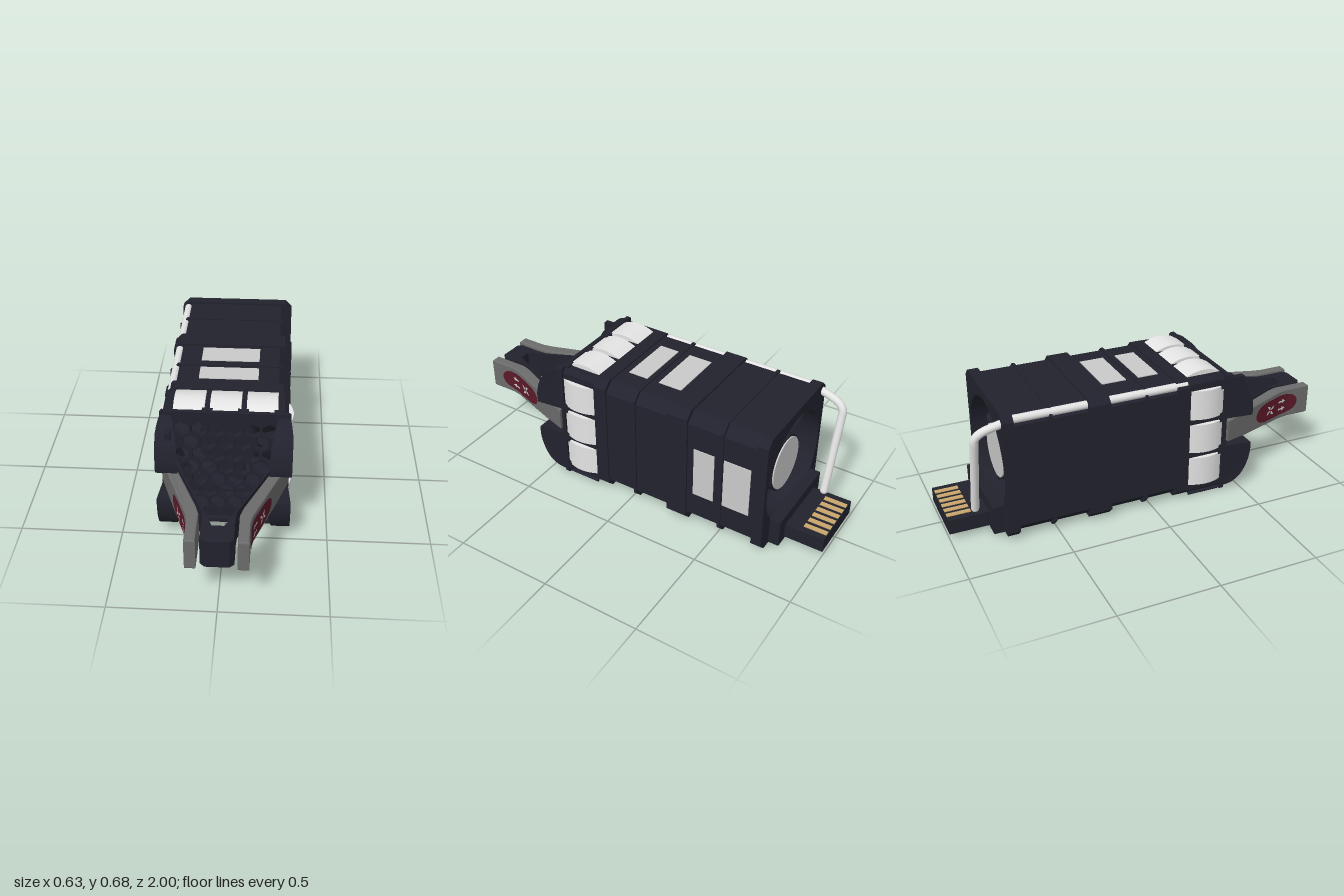
import * as THREE from 'three';

const CY = 0.335; // height of the fan axis
const mat = (name, color) => {
  const m = new THREE.MeshStandardMaterial({ color, side: THREE.DoubleSide });
  m.name = name;
  return m;
};

export function createModel() {
  const dark = mat('dark plastic', 0x22222e);
  const grey = mat('grey grip', 0x6c6c6c);
  const red = mat('dark red', 0x5c1a28);
  const white = mat('white', 0xe4e4e4);
  const label = mat('label grey', 0xcacaca);
  const gold = mat('gold contact', 0xc9a66b);

  const root = new THREE.Group();
  root.name = 'fanModule';
  const add = (name, geo, material, x = 0, y = 0, z = 0, parent = root) => {
    const m = new THREE.Mesh(geo, material);
    m.name = name;
    m.position.set(x, y, z);
    parent.add(m);
    return m;
  };
  const box = (name, material, x0, x1, y0, y1, z0, z1) =>
    add(name, new THREE.BoxGeometry(x1 - x0, y1 - y0, z1 - z0), material,
      (x0 + x1) / 2, (y0 + y1) / 2, (z0 + z1) / 2);
  const poly = (pts) => new THREE.Shape(pts.map(([x, y]) => new THREE.Vector2(x, y)));
  const extrude = (shape, depth, bevel = 0) => new THREE.ExtrudeGeometry(shape, {
    depth: depth - 2 * bevel, curveSegments: 32, bevelEnabled: bevel > 0,
    bevelSize: bevel, bevelThickness: bevel, bevelOffset: -bevel, bevelSegments: 2,
  });
  const eachVertex = (geo, fn) => {
    const p = geo.attributes.position, v = new THREE.Vector3();
    for (let i = 0; i < p.count; i++) {
      fn(v.fromBufferAttribute(p, i));
      p.setXYZ(i, v.x, v.y, v.z);
    }
    geo.computeVertexNormals();
    return geo;
  };
  const chamferRect = (w, h, c) => poly([
    [-w + c, -h], [w - c, -h], [w, -h + c], [w, h - c],
    [w - c, h], [-w + c, h], [-w, h - c], [-w, -h + c]]);

  // Housing sections: name, z range, half width, half height, corner chamfer, round bore
  const sections = [
    ['rearFlange', -0.745, -0.69, 0.302, 0.325, 0.035, true],
    ['housing', -0.7, 0.2, 0.293, 0.315, 0.05, true],
    ['thinRib', -0.52, -0.505, 0.3, 0.321, 0.04, true],
    ['wideRib', -0.33, -0.22, 0.303, 0.325, 0.035, true],
    ['thinRib', -0.04, -0.025, 0.3, 0.321, 0.04, true],
    ['frontRib', 0.13, 0.2, 0.3, 0.322, 0.035, true],
    ['clipBand', 0.2, 0.39, 0.293, 0.317, 0.02, false],
    ['frontFlange', 0.385, 0.405, 0.303, 0.326, 0.008, false],
  ];
  for (const [name, z0, z1, w, h, c, round] of sections) {
    const s = chamferRect(w, h, c);
    s.holes.push(round ? new THREE.Path().absarc(0, 0, 0.28, 0, Math.PI * 2, true)
      : chamferRect(0.277, 0.302, 0.01));
    add(name, extrude(s, z1 - z0), dark, 0, CY, z0);
  }

  // Honeycomb grille
  const grille = chamferRect(0.285, 0.31, 0.01);
  const pitch = 0.083, cell = 0.04;
  for (let r = -4; r <= 4; r++) {
    for (let c = -4; c <= 4; c++) {
      const x = (c + (r % 2 ? 0.5 : 0)) * pitch, y = r * pitch * 0.866;
      if (Math.abs(x) > 0.245 || Math.abs(y) > 0.268) continue;
      grille.holes.push(poly([0, 1, 2, 3, 4, 5].map((k) => {
        const a = Math.PI / 6 + k * Math.PI / 3;
        return [x + cell * Math.cos(a), y + cell * Math.sin(a)];
      })));
    }
  }
  add('honeycombGrille', extrude(grille, 0.03), dark, 0, CY, 0.355);

  // Rotors and rear struts
  const fan = (name, z, count, pitchAngle, chord, hubDepth) => {
    const g = new THREE.Group();
    g.name = name;
    g.position.set(0, CY, z);
    root.add(g);
    add('hub', new THREE.CylinderGeometry(0.145, 0.145, hubDepth, 40).rotateX(Math.PI / 2), dark, 0, 0, 0, g);
    for (let i = 0; i < count; i++) {
      const geo = new THREE.BoxGeometry(0.15, chord, 0.012).rotateX(pitchAngle).translate(0.205, 0, 0);
      add('blade', geo.rotateZ((i / count) * Math.PI * 2 + 0.3), dark, 0, 0, 0, g);
    }
  };
  fan('frontRotor', 0.1, 7, 0.6, 0.17, 0.18);
  fan('rearRotor', -0.4, 5, -0.6, 0.16, 0.2);
  fan('rearStruts', -0.63, 5, 0.75, 0.1, 0.14);
  add('hubLabel', new THREE.CylinderGeometry(0.135, 0.135, 0.008, 40).rotateX(Math.PI / 2), label, 0, CY, -0.703);

  // White spring clips on the top and both sides
  const clipProfile = new THREE.Shape();
  clipProfile.moveTo(0.2, -0.004);
  clipProfile.quadraticCurveTo(0.3, 0.046, 0.388, -0.004);
  const clipRow = (name, angle, radius, width, spacing) => {
    const g = new THREE.Group();
    g.name = name;
    g.position.y = CY;
    g.rotation.z = angle;
    root.add(g);
    for (const i of [-1, 0, 1]) {
      const geo = extrude(clipProfile, width).translate(0, 0, -width / 2).rotateY(-Math.PI / 2);
      add('springClip', geo, white, i * spacing, radius, 0, g);
      add('clipTab', new THREE.BoxGeometry(0.05, 0.014, 0.025), dark, (i + 0.5) * spacing * 0.98, radius, 0.378, g);
    }
  };
  clipRow('topClips', 0, 0.32, 0.145, 0.17);
  clipRow('sideClips', -Math.PI / 2, 0.295, 0.155, 0.185);
  clipRow('sideClips', Math.PI / 2, 0.295, 0.155, 0.185);

  // Ridges beneath the front band
  for (let i = 0; i < 9; i++) {
    add('bottomRidge', new THREE.BoxGeometry(0.017, 0.017, 0.17).rotateZ(Math.PI / 4), dark, -0.276 + i * 0.069, 0.012, 0.3);
  }

  // Labels
  for (const [z0, z1] of [[-0.2, -0.075], [-0.01, 0.095]])
    box('topLabel', label, -0.147, 0.143, 0.648, 0.654, z0, z1);
  for (const [z0, z1] of [[-0.475, -0.365], [-0.665, -0.525]])
    box('sideLabel', label, 0.29, 0.297, 0.2, 0.47, z0, z1);

  // Front ears and handle
  const outerX = (z) => {
    const pts = [[0.42, 0.3], [0.55, 0.252], [0.82, 0.15], [0.87, 0.14], [1.01, 0.14]];
    let i = 0;
    while (i < pts.length - 2 && z > pts[i + 1][0]) i++;
    const [[z0, x0], [z1, x1]] = [pts[i], pts[i + 1]];
    return x0 + (x1 - x0) * (z - z0) / (z1 - z0);
  };
  const plan = (pts, y0, y1, bevel) => // plan outline in x, z raised from y0 to y1
    extrude(poly(pts), y1 - y0, bevel).rotateX(Math.PI / 2).translate(0, y1 - bevel, 0);

  for (const s of [1, -1]) {
    const side = (pts) => pts.map(([x, z]) => [s * x, z]);

    for (const v of [1, -1]) {
      const ear = new THREE.Shape();
      ear.moveTo(0.4, v * 0.078);
      ear.lineTo(0.545, v * 0.078);
      ear.bezierCurveTo(0.56, v * 0.17, 0.5, v * 0.305, 0.4, v * 0.307);
      const geo = eachVertex(extrude(ear, 1), (p) => {
        const t = (p.x - 0.4) / 0.15, z = p.x;
        const inner = 0.25 - 0.04 * t, outer = 0.3 + 0.015 * Math.min(1, t * 1.6);
        p.set(s * (inner + (outer - inner) * p.z), p.y, z);
      });
      // keep faces outward where the rule mirrors the shape
      if (s > 0) {
        const a = geo.attributes.position;
        for (let i = 0; i < a.count; i += 3) {
          const q = [a.getX(i), a.getY(i), a.getZ(i)];
          a.setXYZ(i, a.getX(i + 1), a.getY(i + 1), a.getZ(i + 1));
          a.setXYZ(i + 1, ...q);
        }
        geo.computeVertexNormals();
      }
      add('frontEar', geo, dark, 0, CY, 0);
    }

    // Grey grip, shallower near the ears
    const grip = plan(side([[0.3, 0.42], [0.252, 0.55], [0.15, 0.82], [0.14, 0.87], [0.14, 1],
      [0.09, 1], [0.09, 0.82], [0.105, 0.77], [0.2, 0.54], [0.25, 0.42]]), -0.08, 0.08, 0.007);
    eachVertex(grip, (p) => {
      p.y *= 0.74 + 0.26 * THREE.MathUtils.smoothstep(p.z, 0.42, 0.68);
    });
    add('grip', grip, grey, 0, CY, 0);

    // Dark spring arm
    add('handleArm', plan(side([[0.25, 0.41], [0.23, 0.41], [0.178, 0.56], [0.024, 0.9],
      [0.07, 0.9], [0.077, 0.8], [0.195, 0.54]]), -0.075, 0.075, 0), dark, 0, CY, 0);

    // Red oval that follows the outer face of the grip
    const oval = eachVertex(new THREE.PlaneGeometry(2, 2, 40, 2), (p) => {
      const u = Math.sin(p.x * Math.PI / 2), z = 0.78 + 0.15 * u;
      const h = 0.056 * Math.sqrt(Math.max(0, 1 - u ** 4));
      p.set(s * (outerX(z) + 0.004), CY + 0.002 + p.y * h, z);
    });
    add('redOval', oval, red);

    // Airflow arrows and fan pictogram
    const icon = (name, pts) => add(name, eachVertex(new THREE.ShapeGeometry(poly(pts)), (p) => {
      p.set(s * (outerX(p.x) + 0.008), p.y, p.x);
    }), label);
    for (const y of [CY + 0.024, CY - 0.018]) {
      icon('arrow', [[0.8, y - 0.005], [0.828, y - 0.005], [0.828, y - 0.013], [0.852, y],
        [0.828, y + 0.013], [0.828, y + 0.005], [0.8, y + 0.005]]);
    }
    for (let k = 0; k < 4; k++) {
      const c = Math.cos(k * Math.PI / 2 + 0.3), d = Math.sin(k * Math.PI / 2 + 0.3);
      icon('fanSymbol', [[0.004, 0], [0.02, -0.004], [0.036, 0.014], [0.022, 0.012], [0.008, 0.008]]
        .map(([a, b]) => [0.738 + a * c - b * d, CY + 0.003 + a * d + b * c]));
    }
  }
  add('handleNose', plan([[-0.075, 0.89], [0.075, 0.89], [0.075, 0.97], [0.055, 0.99],
    [-0.055, 0.99], [-0.075, 0.97]], -0.077, 0.077, 0.006), dark, 0, CY, 0);
  box('earButton', dark, -0.27, -0.24, 0.575, 0.615, 0.42, 0.515);

  // Rear connector with gold contacts
  box('connectorBase', dark, -0.23, 0.22, 0.015, 0.16, -0.8, -0.74);
  box('connectorPlug', dark, -0.167, 0.16, 0.03, 0.105, -1, -0.79);
  for (let i = 0; i < 6; i++) {
    const x = -0.118 + i * 0.046;
    box('contact', gold, x - 0.013, x + 0.013, 0.103, 0.109, -0.997, -0.88);
  }

  // Cable along the corner, bent down to the connector
  const path = new THREE.CurvePath();
  const V = (x, y, z) => new THREE.Vector3(x, y, z);
  path.add(new THREE.LineCurve3(V(-0.271, 0.627, 0.19), V(-0.271, 0.627, -0.7)));
  path.add(new THREE.CubicBezierCurve3(V(-0.271, 0.627, -0.7), V(-0.268, 0.6, -0.76), V(-0.262, 0.6, -0.87), V(-0.25, 0.53, -0.865)));
  path.add(new THREE.LineCurve3(V(-0.25, 0.53, -0.865), V(-0.145, 0.13, -0.862)));
  add('cable', new THREE.TubeGeometry(path, 120, 0.02, 12), white);
  add('cableEnd', new THREE.SphereGeometry(0.02, 12, 8), white, -0.145, 0.13, -0.862);

  return root;
}
